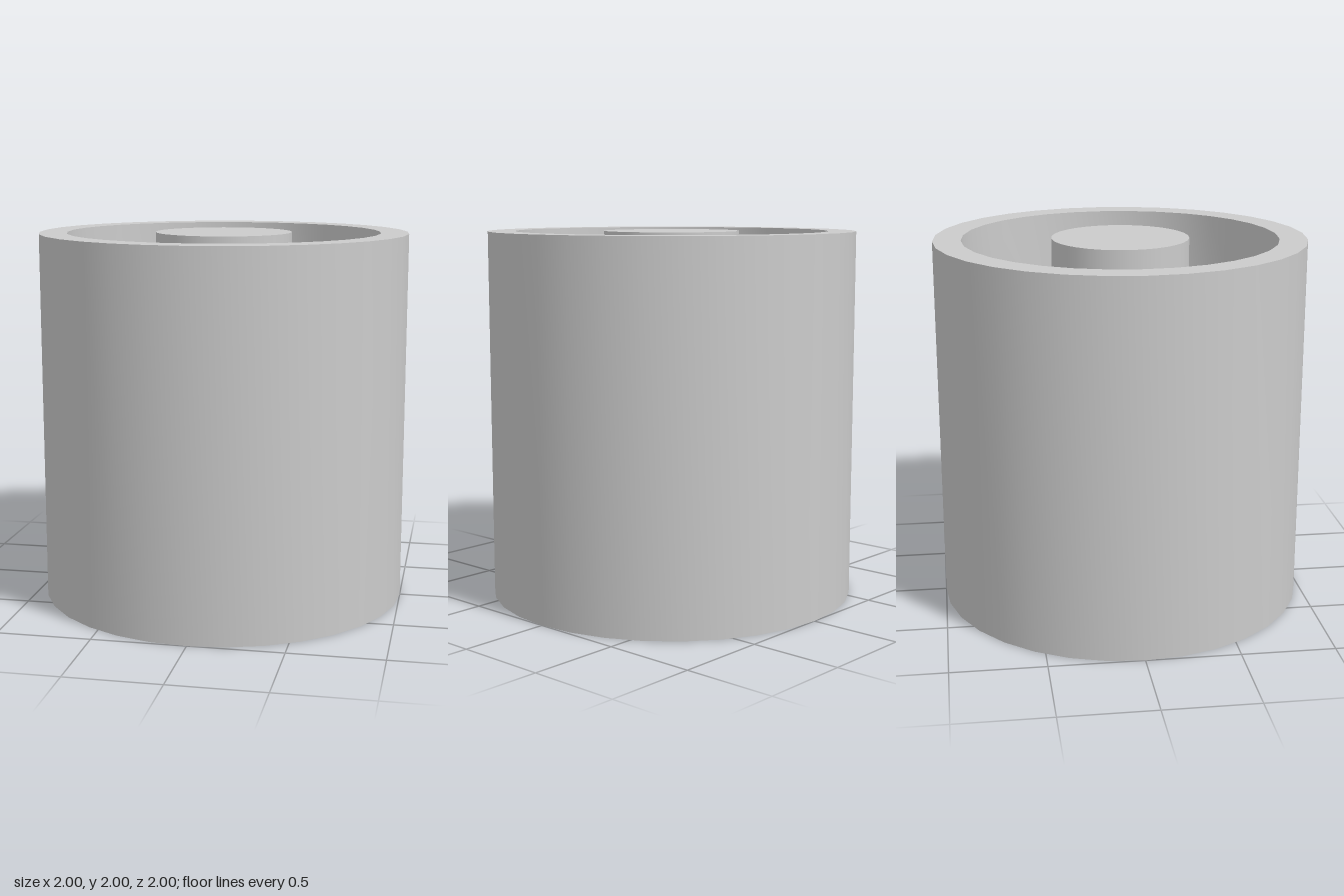
import * as THREE from 'three';
import { toCreasedNormals } from 'three/addons/utils/BufferGeometryUtils.js';

const SIDES = 32;
const HEIGHT = 2;
const OUTER = 1;
const INNER = 0.85; // recess wall radius
const CORE = 0.37;
const DEPTH = 0.34; // recess depth at each end

export function createModel() {
  const group = new THREE.Group();
  const material = new THREE.MeshStandardMaterial({ color: 0xcccccc });

  // Drum with a ring-shaped recess in both ends
  const profile = [
    [CORE, DEPTH], [INNER, DEPTH], [INNER, 0], [OUTER, 0],
    [OUTER, HEIGHT], [INNER, HEIGHT], [INNER, HEIGHT - DEPTH], [CORE, HEIGHT - DEPTH],
  ].map(([r, y]) => new THREE.Vector2(r, y));
  const drum = new THREE.Mesh(
    toCreasedNormals(new THREE.LatheGeometry(profile, SIDES), Math.PI / 6),
    material
  );
  drum.name = 'drum';
  group.add(drum);

  // Central core, flush with both rims
  const core = new THREE.Mesh(new THREE.CylinderGeometry(CORE, CORE, HEIGHT, SIDES), material);
  core.name = 'core';
  core.position.y = HEIGHT / 2;
  group.add(core);

  return group;
}
